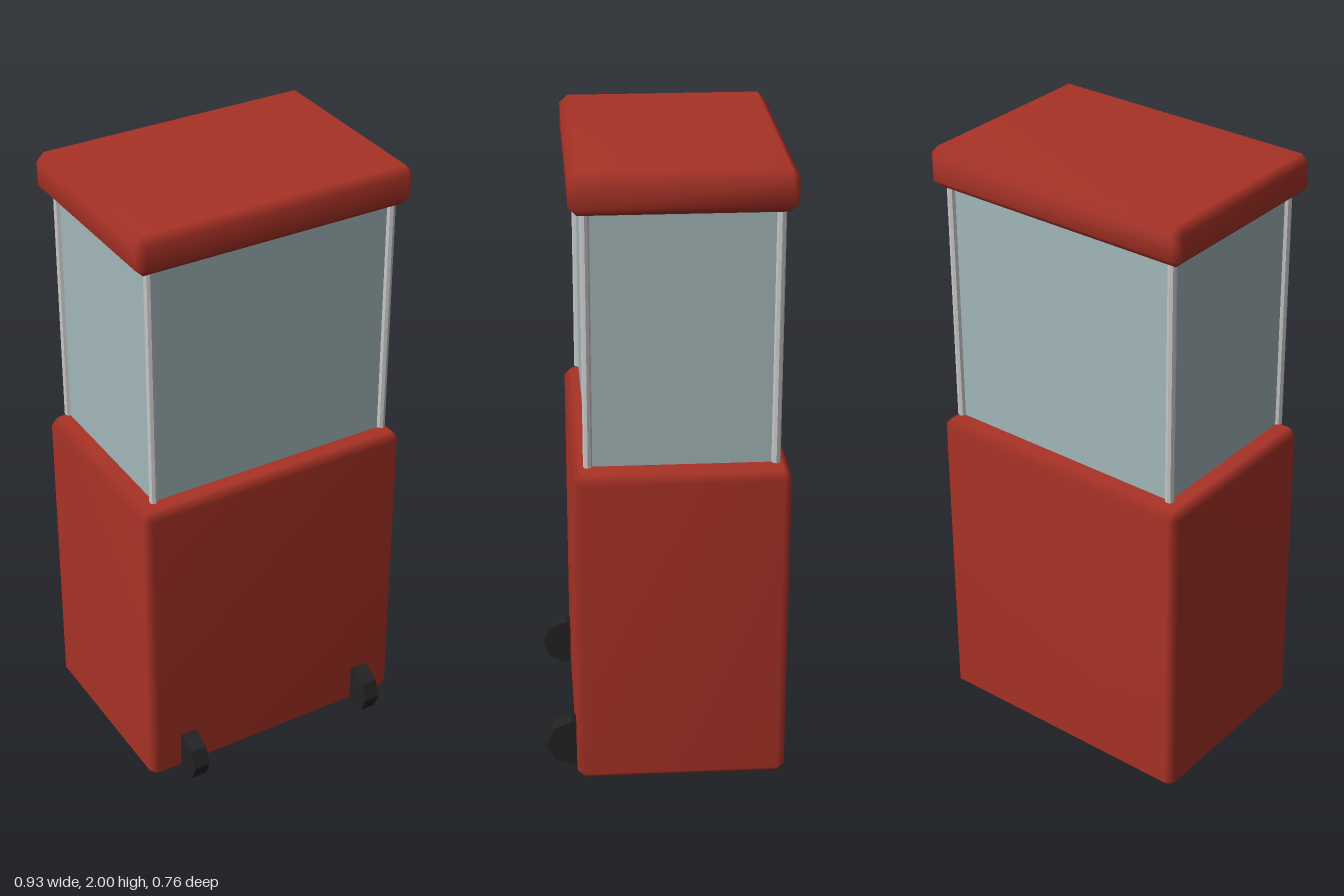
import * as THREE from 'three';
import { ConvexGeometry } from 'three/addons/geometries/ConvexGeometry.js';
import { mergeVertices } from 'three/addons/utils/BufferGeometryUtils.js';

const Z = -0.0475; // centre of the cabinet in depth

// Box with a single chamfer on every edge, shaded softly across the chamfers
function chamferedBox(w, h, d, c) {
  const points = [];
  for (const x of [-1, 1]) for (const y of [-1, 1]) for (const z of [-1, 1])
    for (const face of [0, 1, 2])
      points.push(new THREE.Vector3(
        x * (w / 2 - (face === 0 ? 0 : c)),
        y * (h / 2 - (face === 1 ? 0 : c)),
        z * (d / 2 - (face === 2 ? 0 : c))));
  const hull = new ConvexGeometry(points);
  hull.deleteAttribute('normal');
  const geometry = mergeVertices(hull);
  geometry.computeVertexNormals();
  return geometry;
}

export function createModel() {
  const group = new THREE.Group();

  const material = (name, color, flatShading = false) => {
    const m = new THREE.MeshStandardMaterial({ color, flatShading });
    m.name = name;
    return m;
  };
  const red = material('red paint', 0xa93226);
  const glass = material('glass', 0xa3b7ba);
  const metal = material('light metal', 0xc8c8c8, true);
  const rubber = material('black rubber', 0x222222, true);

  const add = (name, geometry, mat, x, y, z) => {
    const mesh = new THREE.Mesh(geometry, mat);
    mesh.name = name;
    mesh.position.set(x, y, z);
    group.add(mesh);
    return mesh;
  };

  // Cabinet and lid
  add('cabinet', chamferedBox(0.926, 1.058, 0.661, 0.025), red, 0, 0.534, Z);
  add('lid', chamferedBox(0.926, 0.127, 0.661, 0.025), red, 0, 1.9365, Z);

  // Glass case, with a thin gap above the cabinet
  add('glassCase', new THREE.BoxGeometry(0.822, 0.802, 0.568), glass, 0, 1.481, Z);

  // Corner posts
  const post = new THREE.CylinderGeometry(0.014, 0.014, 0.802, 8);
  for (const x of [-1, 1]) for (const z of [-1, 1])
    add('cornerPost', post, metal, x * 0.411, 1.481, Z + z * 0.284);

  // Wheels at the foot of the front
  const wheel = new THREE.CylinderGeometry(0.08, 0.08, 0.054, 8).rotateZ(Math.PI / 2);
  for (const x of [-1, 1])
    add(x > 0 ? 'leftWheel' : 'rightWheel', wheel, rubber, x * 0.331, 0.08, 0.298);

  return group;
}
